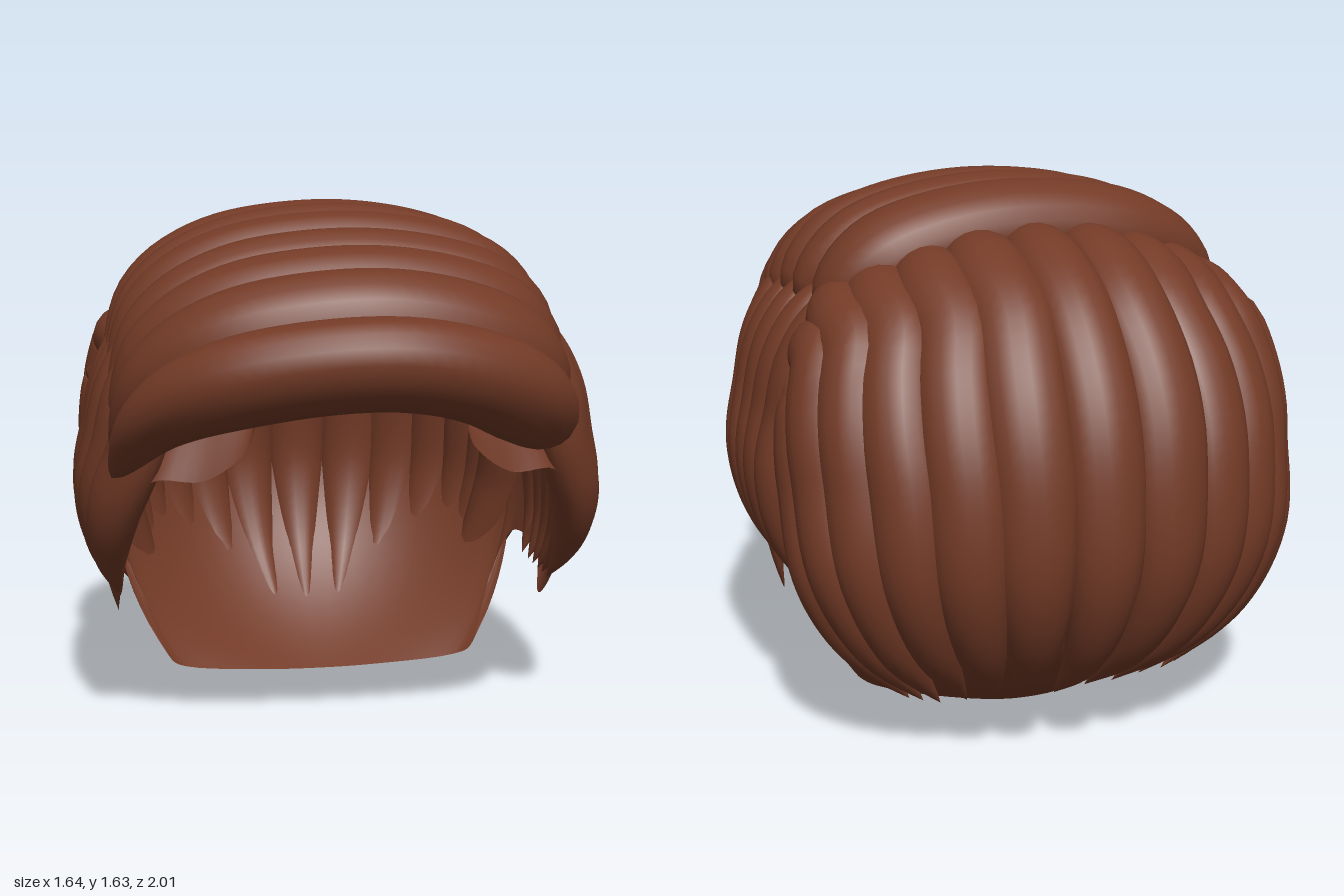
import * as THREE from 'three';

const V = (x, y, z) => new THREE.Vector3(x, y, z);
const CENTRE = V(0, 0.8, -0.1);
const RADII = V(0.72, 0.68, 0.78);
const hair = new THREE.MeshStandardMaterial({ color: 0x743b27 });
const capHair = new THREE.MeshStandardMaterial({ color: 0x743b27, side: THREE.DoubleSide });

const mix = THREE.MathUtils.lerp;
const toSphere = (p) => p.clone().sub(CENTRE).divide(RADII);
const fromSphere = (p) => p.clone().multiply(RADII).add(CENTRE);

function gridMesh(name, verts, index, material) {
  const geo = new THREE.BufferGeometry();
  geo.setAttribute('position', new THREE.Float32BufferAttribute(verts, 3));
  geo.setIndex(index);
  geo.computeVertexNormals();
  const mesh = new THREE.Mesh(geo, material);
  mesh.name = name;
  return mesh;
}

// Path that bends around the skull ellipsoid through a few key points
function hug(points) {
  const s = points.map(toSphere);
  const out = [];
  for (let i = 0; i < s.length - 1; i++) {
    const axis = s[i].clone().cross(s[i + 1]).normalize();
    const angle = s[i].angleTo(s[i + 1]);
    for (let k = 0; k < 3; k++) {
      const t = k / 3;
      const r = mix(s[i].length(), s[i + 1].length(), t);
      out.push(fromSphere(s[i].clone().normalize().applyAxisAngle(axis, angle * t).multiplyScalar(r)));
    }
  }
  out.push(points[points.length - 1].clone());
  return out;
}

// Thick lock of hair: rounded root, full middle, tapered tip
function lock(name, points, width, depth, taperFrom, power, root) {
  const curve = new THREE.CatmullRomCurve3(points);
  const rows = 40, sides = 18, verts = [], index = [];
  for (let i = 0; i <= rows; i++) {
    const t = i / rows;
    const c = curve.getPointAt(t);
    const T = curve.getTangentAt(t);
    const N = c.clone().sub(CENTRE).divide(RADII).divide(RADII);
    N.addScaledVector(T, -N.dot(T)).normalize();
    const B = T.clone().cross(N);
    const start = Math.sqrt(Math.max(0, 1 - (1 - Math.min(t / root, 1)) ** 2));
    const end = t < taperFrom ? 1
      : Math.max(0, Math.cos((t - taperFrom) / (1 - taperFrom) * Math.PI / 2)) ** power;
    const s = Math.max(start * end, 0.002);
    for (let j = 0; j < sides; j++) {
      const a = j / sides * Math.PI * 2;
      const p = c.clone().addScaledVector(B, Math.cos(a) * width * s)
        .addScaledVector(N, Math.sin(a) * depth * s);
      verts.push(p.x, p.y, p.z);
      if (i < rows) {
        const k = i * sides + j, n = i * sides + (j + 1) % sides;
        index.push(k, k + sides, n, n, k + sides, n + sides);
      }
    }
  }
  return gridMesh(name, verts, index, hair);
}

// Scalp shell, lofted from the crown to a rim with temples, sideburns, ear notches and nape
function cap() {
  // x, y, z of the rim, and how far its meridian swings back, in degrees
  const half = [
    [0, 1.1, 0.63, 0], [0.28, 1.09, 0.59, 0], [0.33, 0.97, 0.57, 0], [0.45, 0.88, 0.54, 0],
    [0.6, 0.87, 0.49, 0], [0.67, 0.6, 0.32, 0], [0.69, 0.39, 0.09, 0], [0.69, 0.35, 0, 0],
    [0.7, 0.47, -0.05, 0], [0.69, 0.5, -0.18, 0], [0.67, 0.47, -0.31, 0], [0.61, 0.33, -0.32, 6],
    [0.56, 0.2, -0.26, 13], [0.51, 0.1, -0.2, 19], [0.46, 0.07, -0.22, 22],
    [0.2, 0.02, -0.3, 14], [0, 0.005, -0.33, 0],
  ];
  const mirrored = half.slice(1, -1).reverse().map(([x, y, z, s]) => [-x, y, z, -s]);
  const loop = half.concat(mirrored);
  const curve = new THREE.CatmullRomCurve3(loop.map((p) => V(p[0], p[1], p[2])), true);
  const per = 5, cols = loop.length * per, rows = 36, verts = [], index = [];
  for (let j = 0; j < cols; j++) {
    const k = Math.floor(j / per), f = (j % per) / per;
    const swing = THREE.MathUtils.degToRad(mix(loop[k][3], loop[(k + 1) % loop.length][3], f));
    const p = toSphere(curve.getPoint(j / cols));
    const r = p.length(), polar = Math.acos(p.y / r), az = Math.atan2(p.x, p.z);
    for (let i = 0; i <= rows; i++) {
      const t = i / rows;
      const q = fromSphere(new THREE.Vector3().setFromSphericalCoords(
        1 + (r - 1) * t ** 4, polar * t, az + swing * (1 - t ** 3)));
      verts.push(q.x, q.y, q.z);
      if (i < rows) {
        const m = j * (rows + 1) + i, n = ((j + 1) % cols) * (rows + 1) + i;
        index.push(m, m + 1, n, n, m + 1, n + 1);
      }
    }
  }
  return gridMesh('scalpCap', verts, index, capHair);
}

export function createModel() {
  const group = new THREE.Group();
  group.name = 'hair';
  group.add(cap());

  // Locks swept across the top, front fringe first:
  // middle y and z, z at right tip, x, z and y at left end, half width, half depth
  [
    [1.255, 0.85, 0.46, 0.55, 0.53, 0.98, 0.125, 0.155],
    [1.35, 0.68, 0.42, 0.57, 0.46, 1.06, 0.15, 0.14],
    [1.41, 0.5, 0.36, 0.59, 0.37, 1.14, 0.14, 0.13],
    [1.45, 0.33, 0.27, 0.6, 0.28, 1.19, 0.13, 0.13],
    [1.49, 0.16, 0.15, 0.6, 0.14, 1.22, 0.13, 0.13],
    [1.5, -0.02, 0.03, 0.6, -0.01, 1.23, 0.13, 0.13],
    [1.5, -0.22, -0.1, 0.59, -0.2, 1.24, 0.16, 0.13],
  ].forEach(([y, z, zR, xL, zL, yEnd, w, d], i) => {
    const yTip = yEnd - 0.1;
    const path = [
      V(xL, yEnd, zL), V(xL - 0.07, mix(yEnd, y, 0.38), mix(zL, z, 0.4)),
      V(xL - 0.22, mix(yEnd, y, 0.76), mix(zL, z, 0.78)), V(0.04, y, z),
      V(-0.36, mix(yTip, y, 0.87), mix(zR, z, 0.83)),
      V(-0.57, mix(yTip, y, 0.58), mix(zR, z, 0.5)), V(-0.71, yTip, zR),
    ];
    group.add(lock('topLock' + (i + 1), path, w, d, 0.6, 0.7, 0.2));
  });

  for (const side of [1, -1]) {
    const label = side > 0 ? 'left' : 'right';
    const at = (x, y, z) => V(x * side, y, z);

    // Side locks in front of the ear: root x, root z, middle x, middle z, tip z
    [
      [0.5, 0.42, 0.64, 0.43, 0.12],
      [0.52, 0.32, 0.685, 0.31, 0.06],
      [0.53, 0.18, 0.71, 0.18, 0.01],
      [0.54, 0.05, 0.715, 0.05, -0.05],
      [0.54, -0.09, 0.715, -0.07, -0.11],
      [0.53, -0.21, 0.7, -0.18, -0.19],
    ].forEach(([rx, rz, mx, mz, tz], i) => group.add(lock(label + 'SideLock' + (i + 1),
      hug([at(rx, 1.34, rz), at(mx, 0.95, mz), at(0.685, 0.43, tz)]), 0.1, 0.075, 0.5, 0.9, 0.3)));

    // Back locks from under the crown to the nape: root, shoulder, middle, tip
    [
      [[0.17, 1.45, -0.24], [0.18, 1.3, -0.66], [0.2, 0.88, -0.88], [0.1, 0.13, -0.56]],
      [[0.32, 1.42, -0.24], [0.33, 1.27, -0.61], [0.37, 0.88, -0.82], [0.19, 0.13, -0.56]],
      [[0.44, 1.37, -0.18], [0.47, 1.24, -0.54], [0.51, 0.87, -0.73], [0.28, 0.14, -0.56]],
      [[0.54, 1.31, -0.14], [0.57, 1.21, -0.48], [0.61, 0.86, -0.62], [0.36, 0.14, -0.55]],
      [[0.62, 1.2, -0.2], [0.64, 1.17, -0.41], [0.675, 0.84, -0.52], [0.41, 0.15, -0.54]],
      [[0.67, 1.02, -0.27], [0.675, 1.05, -0.36], [0.695, 0.8, -0.42], [0.45, 0.16, -0.53]],
    ].forEach((p, i) => group.add(lock(label + 'BackLock' + (i + 1),
      hug(p.map((c) => at(...c))), 0.125 - i * 0.004, 0.1, 0.5, 0.9, 0.15)));
  }
  group.add(lock('middleBackLock', hug([V(0, 1.46, -0.24), V(0, 1.31, -0.67),
    V(0, 0.88, -0.9), V(0, 0.12, -0.56)]), 0.12, 0.1, 0.5, 0.9, 0.15));

  return group;
}
